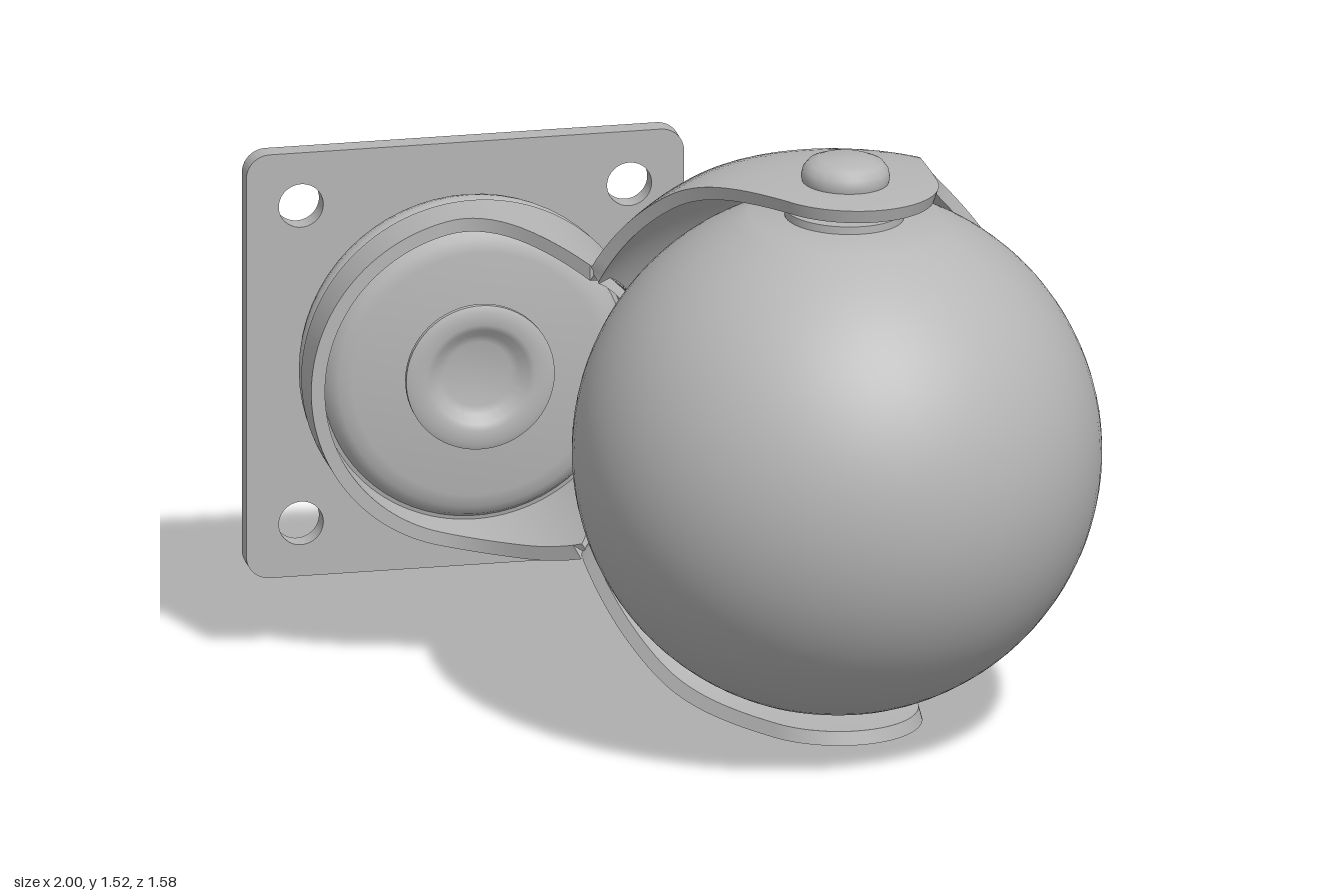
import * as THREE from 'three';
import { toCreasedNormals } from 'three/addons/utils/BufferGeometryUtils.js';

const grey = new THREE.MeshStandardMaterial({ color: 0xb6b6b6, side: THREE.DoubleSide });
grey.name = 'plain grey';

const R = 0.775, THICK = 0.035, CAP = 0.715;   // hood shell
const BALL = { x: 0.775, z: 0.125, r: 0.665, flat: 0.62 }; // ball, relative to the swivel axis
const CUP = 0.44;                              // swivel cup radius

function smoothMin(a, b, k) {
  const h = Math.max(k - Math.abs(a - b), 0) / k;
  return Math.min(a, b) - h * h * k / 4;
}

function part(name, geometry, parent) {
  const mesh = new THREE.Mesh(geometry, grey);
  mesh.name = name;
  parent.add(mesh);
  return mesh;
}

function lathe(points, segments = 64) {
  const g = new THREE.LatheGeometry(points.map(p => new THREE.Vector2(...p)), segments);
  return toCreasedNormals(g, 0.6);
}
const latheZ = points => lathe(points).rotateX(Math.PI / 2);

// skin a row of cross-sections; closed rings wrap around
function loft(sections, wrapSections, wrapPoints) {
  const n = sections.length, m = sections[0].length, index = [];
  for (let i = 0; i < n - (wrapSections ? 0 : 1); i++) {
    for (let j = 0; j < m - (wrapPoints ? 0 : 1); j++) {
      const a = i * m + j, b = i * m + (j + 1) % m;
      const c = ((i + 1) % n) * m + j, d = ((i + 1) % n) * m + (j + 1) % m;
      index.push(a, c, b, b, c, d);
    }
  }
  const g = new THREE.BufferGeometry();
  g.setAttribute('position', new THREE.Float32BufferAttribute(sections.flat(2), 3));
  g.setIndex(index);
  return toCreasedNormals(g, 0.6);
}

// square plate with rounded corners, four bolt holes and a centre hole
function plateGeometry() {
  const s = 0.56, r = 0.06, shape = new THREE.Shape();
  shape.absarc(s - r, s - r, r, 0, Math.PI / 2);
  shape.absarc(r - s, s - r, r, Math.PI / 2, Math.PI);
  shape.absarc(r - s, r - s, r, Math.PI, Math.PI * 1.5);
  shape.absarc(s - r, r - s, r, Math.PI * 1.5, Math.PI * 2);
  const hole = (x, y, radius) =>
    shape.holes.push(new THREE.Path().absarc(x, y, radius, 0, Math.PI * 2, true));
  for (const x of [-0.42, 0.42]) for (const y of [-0.42, 0.42]) hole(x, y, 0.057);
  hole(0, 0, 0.19);
  const g = new THREE.ExtrudeGeometry(shape, { depth: 0.055, bevelEnabled: false, curveSegments: 24 });
  return toCreasedNormals(g.translate(0, 0, -0.79), 0.6);
}

// truncated spherical shell, trimmed by a curve seen along the axle
function hoodGeometry() {
  const trim = new THREE.Path();
  trim.moveTo(-0.632, -0.448);
  trim.lineTo(-0.165, 0.141);
  trim.absarc(0.01, 0, 0.225, 2.464, 0, true);
  trim.lineTo(0.235, -0.2);
  trim.bezierCurveTo(0.235, -0.38, 0.34, -0.485, 0.602, -0.488);
  const N = 130, M = 32, sections = [];
  trim.getSpacedPoints(N).forEach((front, i) => {
    const a = 3.758 + (5.602 - 3.758) * i / N;
    const skin = (t, k, cap, minRadius) => {
      const w = t * t;
      const dx = front.x * w + R * Math.cos(a) * (1 - w);
      const dz = front.y * w + R * Math.sin(a) * (1 - w);
      const sphereY = k * Math.sqrt(Math.max(0, R * R - dx * dx - dz * dz));
      let x = BALL.x + dx * k, y = Math.sign(t) * Math.max(0, smoothMin(sphereY, cap, 0.08));
      // leave the inside of the swivel cup open
      const r = Math.hypot(x, y);
      if (r < minRadius) { x *= minRadius / r; y *= minRadius / r; }
      return [x, y, BALL.z + dz * k];
    };
    const ring = [];
    for (let j = M; j >= -M; j--) ring.push(skin(j / M, 1, CAP, 0.43));
    for (let j = -M; j <= M; j++) ring.push(skin(j / M, 1 - THICK / R, CAP - THICK, 0.41));
    sections.push(ring);
  });
  return loft(sections, false, true);
}

// round wall whose front edge follows the trim line and then the hood
function cupWallGeometry() {
  const N = 128, sections = [];
  for (let i = 0; i < N; i++) {
    const a = i / N * Math.PI * 2, c = Math.cos(a), s = Math.sin(a);
    const frontZ = r => {
      const x = c * r, y = s * r, dx = x - BALL.x;
      const line = -0.24 + 1.244 * (x - 0.21);
      const edge = -smoothMin(0.51, -line, 0.12);
      const hood = BALL.z - Math.sqrt(Math.max(0, (R - 0.015) ** 2 - dx * dx - y * y));
      return Math.min(edge, hood);
    };
    const at = (r, z) => [c * r, s * r, z];
    sections.push([at(0.4, -0.645), at(0.43, -0.645), at(CUP, -0.635),
      at(CUP, frontZ(CUP)), at(0.405, frontZ(0.405)), at(0.4, -0.625)]);
  }
  return loft(sections, true, true);
}

function ballGeometry() {
  const lat = Math.asin(BALL.flat / BALL.r), points = [[0, -BALL.flat]];
  for (let i = 0; i <= 40; i++) {
    const a = -lat + 2 * lat * i / 40;
    points.push([BALL.r * Math.cos(a), BALL.r * Math.sin(a)]);
  }
  points.push([0, BALL.flat]);
  return lathe(points, 80);
}

export function createModel() {
  const model = new THREE.Group();
  model.name = 'ballCaster';

  // fixed mount
  const mount = new THREE.Group();
  mount.name = 'mount';
  mount.position.set(-0.44, 0.775, 0);
  model.add(mount);
  part('mountingPlate', plateGeometry(), mount);
  part('plateRivet', latheZ([[0, -0.782], [0.155, -0.782], [0.162, -0.774], [0.172, -0.774], [0.19, -0.79]]), mount);
  part('bearingRing', latheZ([[0, -0.737], [0.39, -0.737], [0.415, -0.73], [0.43, -0.712], [0.435, -0.69],
    [0.43, -0.668], [0.415, -0.65], [0.39, -0.643], [0, -0.643]]), mount);

  // swivelling fork, turned slightly on the mount
  const fork = new THREE.Group();
  fork.name = 'fork';
  fork.position.copy(mount.position);
  fork.rotation.z = -0.03;
  model.add(fork);
  part('swivelCup', cupWallGeometry(), fork);
  part('cupFloor', latheZ([[0, -0.645], [0.41, -0.645], [0.41, -0.625], [0.39, -0.62], [0.378, -0.598],
    [0.355, -0.582], [0.32, -0.575], [0, -0.575]]), fork);
  part('kingpin', latheZ([[0.19, -0.58], [0.19, -0.566], [0.175, -0.56], [0.14, -0.56], [0.125, -0.565],
    [0.105, -0.588], [0.085, -0.594], [0, -0.594]].map(([r, z]) => [r, z + 0.022])), fork);
  part('hood', hoodGeometry(), fork);

  // ball and axle
  const wheel = new THREE.Group();
  wheel.name = 'wheel';
  wheel.position.set(BALL.x, 0, BALL.z);
  fork.add(wheel);
  part('ball', ballGeometry(), wheel);
  part('axle', new THREE.CylinderGeometry(0.065, 0.065, 1.42, 40), wheel);
  for (const side of [-1, 1]) {
    part('washer', new THREE.CylinderGeometry(0.15, 0.15, 0.02, 48), wheel).position.y = side * 0.63;
  }
  part('axleHead', lathe([[0, 0.71], [0.108, 0.71], [0.112, 0.725], [0.108, 0.745], [0.095, 0.762],
    [0.07, 0.772], [0, 0.775]]), wheel);
  part('axleTail', lathe([[0, -0.75], [0.045, -0.748], [0.065, -0.738], [0.075, -0.722], [0.075, -0.7]]), wheel);
  return model;
}
